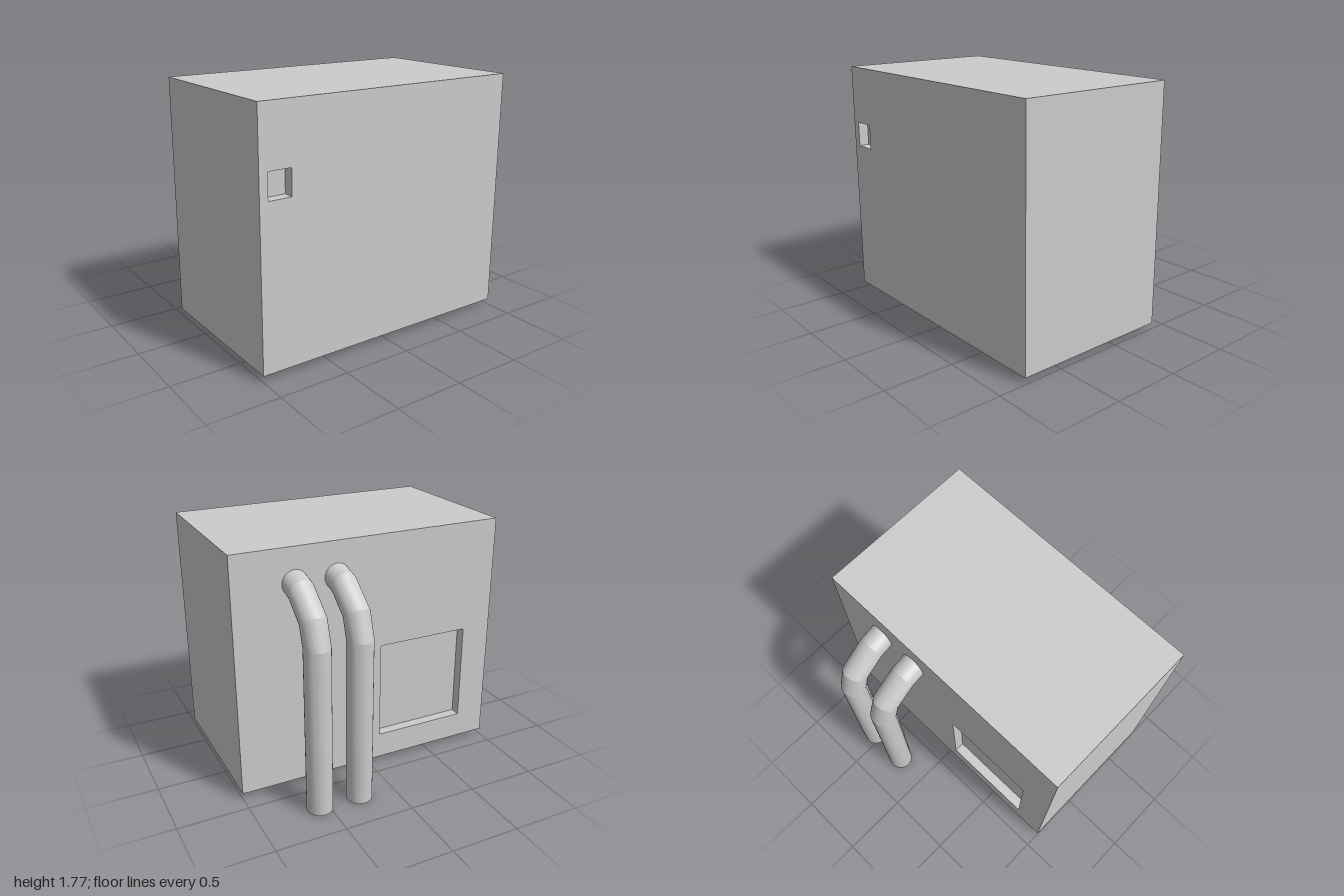
import * as THREE from 'three';
import { toCreasedNormals } from 'three/addons/utils/BufferGeometryUtils.js';

const X0 = -0.385, X1 = 0.8, Y0 = 0.045, Y1 = 1.77;
const DEPTH = 0.075;
const material = new THREE.MeshStandardMaterial({ color: 0xcccccc });

function addMesh(parent, name, geometry) {
  const mesh = new THREE.Mesh(geometry, material);
  mesh.name = name;
  parent.add(mesh);
  return mesh;
}

// Box keeping only the listed faces (order: +x, -x, +y, -y, +z, -z)
function openBox(w, h, d, faces, inward = false) {
  const geo = new THREE.BoxGeometry(w, h, d);
  const all = Array.from(geo.index.array);
  const index = faces.flatMap((f) => all.slice(f * 6, f * 6 + 6));
  geo.setIndex(inward ? index.reverse() : index);
  geo.clearGroups();
  if (inward) geo.computeVertexNormals();
  return geo;
}

function rectangle(path, a, b, c, d) {
  path.moveTo(a, c).lineTo(b, c).lineTo(b, d).lineTo(a, d).closePath();
  return path;
}

// Side wall with a rectangular opening and the recess behind it
function recessedWall(name, side, z0, z1, y0, y1) {
  const group = new THREE.Group();
  group.name = name;
  const x = side > 0 ? X1 : X0;
  const shape = rectangle(new THREE.Shape(), -1, 1, Y0, Y1);
  shape.holes.push(rectangle(new THREE.Path(), -side * z0, -side * z1, y0, y1));
  const wall = new THREE.ShapeGeometry(shape);
  wall.rotateY(side * Math.PI / 2).translate(x, 0, 0);
  addMesh(group, name + 'Panel', wall);

  const faces = [side > 0 ? 1 : 0, 2, 3, 4, 5];
  const recess = openBox(DEPTH, y1 - y0, z1 - z0, faces, true);
  recess.translate(x - side * DEPTH / 2, (y0 + y1) / 2, (z0 + z1) / 2);
  addMesh(group, name + 'Recess', recess);
  return group;
}

// Bent pipe swept through tilted rings: [centre x, centre y, ring tilt]
function pipeGeometry(radius, sides) {
  const rings = [
    [-0.713, 0, 0],
    [-0.713, 1.2, 0],
    [-0.66, 1.36, 0.56],
    [-0.485, 1.498, 1.25],
    [-0.385, 1.525, Math.PI / 2],
  ];
  const position = [], index = [];
  for (const [cx, cy, tilt] of rings) {
    for (let i = 0; i < sides; i++) {
      const a = (i / sides) * Math.PI * 2;
      const u = radius * Math.cos(a);
      position.push(cx - u * Math.cos(tilt), cy + u * Math.sin(tilt), radius * Math.sin(a));
    }
  }
  for (let r = 0; r < rings.length - 1; r++) {
    for (let i = 0; i < sides; i++) {
      const j = (i + 1) % sides;
      const a = r * sides + i, b = r * sides + j;
      index.push(a, b, a + sides, b, b + sides, a + sides);
    }
  }
  // End caps
  const last = (rings.length - 1) * sides;
  for (let i = 1; i < sides - 1; i++) {
    index.push(0, i + 1, i, last, last + i, last + i + 1);
  }
  const geo = new THREE.BufferGeometry();
  geo.setAttribute('position', new THREE.Float32BufferAttribute(position, 3));
  geo.setIndex(index);
  return toCreasedNormals(geo, 0.25);
}

export function createModel() {
  const model = new THREE.Group();
  model.name = 'ductedCabinet';

  // Cabinet: top, bottom, front and back, then the two recessed sides
  const shell = openBox(X1 - X0, Y1 - Y0, 2, [2, 3, 4, 5]);
  shell.translate((X0 + X1) / 2, (Y0 + Y1) / 2, 0);
  addMesh(model, 'cabinetShell', shell);
  model.add(recessedWall('leftWall', 1, 0.775, 0.94, 1.175, 1.355));
  model.add(recessedWall('rightWall', -1, 0.08, 0.776, 0.235, 0.955));

  // Pair of bent pipes entering the right wall
  const pipe = pipeGeometry(0.091, 32);
  [['frontPipe', -0.26], ['backPipe', -0.563]].forEach(([name, z]) => {
    addMesh(model, name, pipe).position.z = z;
  });

  return model;
}
